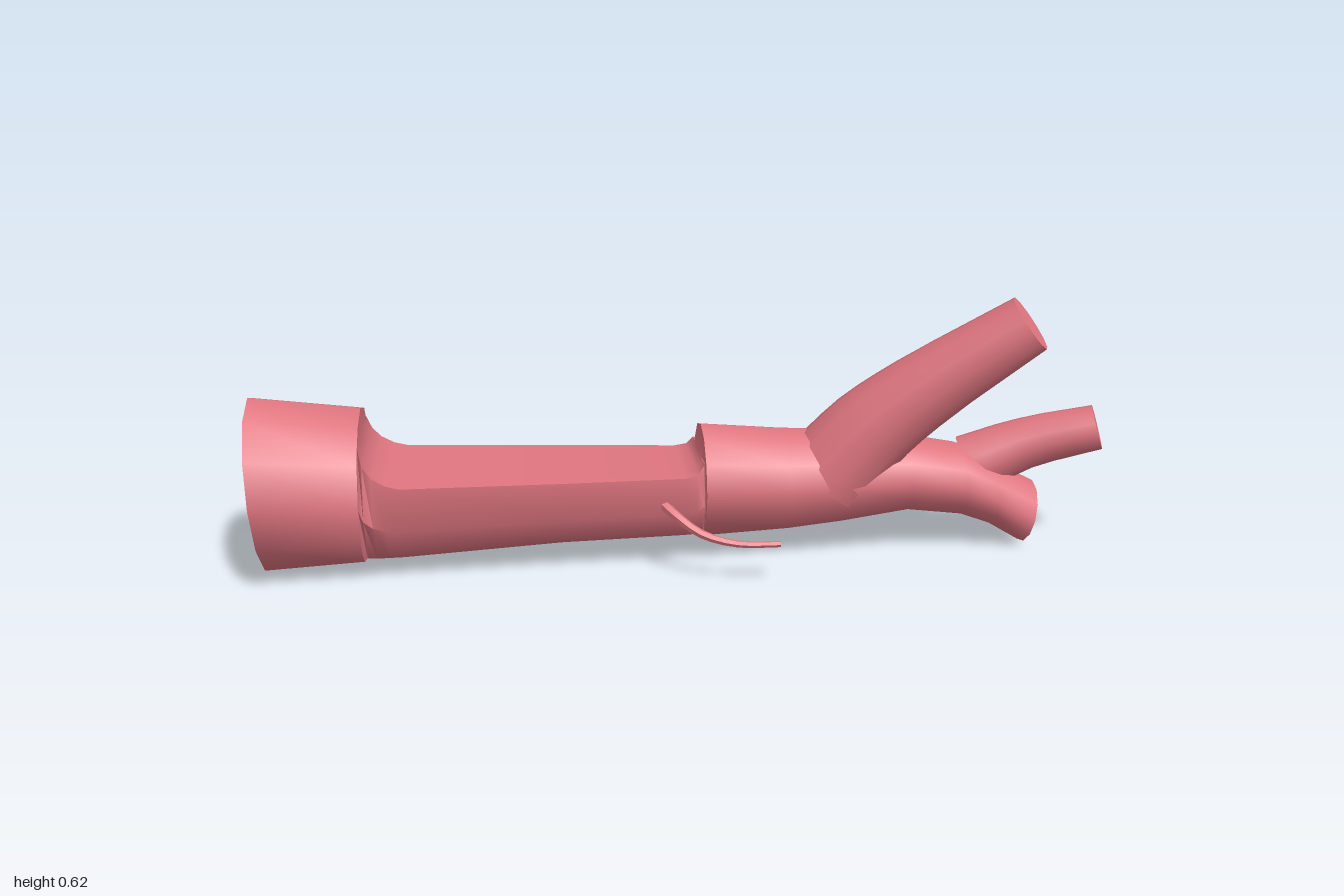
import * as THREE from 'three';
import { toCreasedNormals } from 'three/addons/utils/BufferGeometryUtils.js';

const material = new THREE.MeshStandardMaterial({ color: 0xe07680 });

// Skin a list of rings (arrays of Vector3) and close both ends
function loft(rings, name) {
  const n = rings[0].length, last = (rings.length - 1) * n, index = [];
  for (let i = 0; i < rings.length - 1; i++) {
    for (let j = 0; j < n; j++) {
      const a = i * n + j, b = i * n + (j + 1) % n;
      index.push(a, a + n, b, b, a + n, b + n);
    }
  }
  for (let k = 1; k < n - 1; k++) {
    index.push(0, k, k + 1, last, last + k + 1, last + k);
  }
  const geometry = new THREE.BufferGeometry().setFromPoints(rings.flat());
  geometry.setIndex(index);
  const mesh = new THREE.Mesh(toCreasedNormals(geometry, 0.75), material);
  mesh.name = name;
  return mesh;
}

// Tapering limb along a smooth curve; each node is [x, y, z, radius]
function limb(name, nodes, steps, sides) {
  const curve = new THREE.CatmullRomCurve3(nodes.map(p => new THREE.Vector3(p[0], p[1], p[2])));
  const rings = [];
  for (let i = 0; i <= steps; i++) {
    const t = i / steps, s = t * (nodes.length - 1);
    const k = Math.min(Math.floor(s), nodes.length - 2);
    const r = THREE.MathUtils.lerp(nodes[k][3], nodes[k + 1][3], s - k);
    const centre = curve.getPoint(t), dir = curve.getTangent(t);
    const e1 = new THREE.Vector3(0, 0, 1).addScaledVector(dir, -dir.z).normalize();
    const e2 = e1.clone().cross(dir);
    rings.push(Array.from({ length: sides }, (_, j) => {
      const a = j / sides * Math.PI * 2;
      return centre.clone().addScaledVector(e1, r * Math.cos(a)).addScaledVector(e2, r * Math.sin(a));
    }));
  }
  return loft(rings, name);
}

// Trunk ring: round below, cut flat at height "cut" where there is one
function trunkRing([x, cy, cz, ry, rz, cut = 9, tilt = 0]) {
  const half = 6, ring = [];
  const phi = cut < cy + ry ? Math.asin((cut - cy) / ry) : 0;
  for (let j = 0; j < half * 2; j++) {
    const a = j < half
      ? phi + (Math.PI - 2 * phi) * j / half
      : Math.PI - phi + (Math.PI + 2 * phi) * (j - half) / half;
    const s = Math.sin(a);
    ring.push(new THREE.Vector3(x + tilt * s, Math.min(cy + ry * s, cut), cz + rz * Math.cos(a)));
  }
  return ring;
}

export function createModel() {
  const group = new THREE.Group();
  group.name = 'carvedLog';

  // Trunk with a seat notch: x, centre y, centre z, radius y, radius z, cut height, end tilt
  const trunk = [
    [-0.985, 0.205, 0.015, 0.202, 0.204, 9, -0.015],
    [-0.75, 0.196, 0.015, 0.181, 0.185],
    [-0.75, 0.196, 0.015, 0.181, 0.185, 0.32],
    [-0.74, 0.196, 0.015, 0.181, 0.185, 0.285],
    [-0.72, 0.196, 0.015, 0.18, 0.183, 0.26],
    [-0.69, 0.196, 0.015, 0.178, 0.181, 0.243],
    [-0.66, 0.196, 0.014, 0.177, 0.18, 0.235],
    [-0.3, 0.198, 0.012, 0.158, 0.159, 0.229],
    [-0.02, 0.184, 0.008, 0.14, 0.141, 0.224],
    [0.01, 0.182, 0.008, 0.137, 0.139, 0.23],
    [0.025, 0.181, 0.008, 0.136, 0.138, 0.25],
    [0.03, 0.18, 0.008, 0.135, 0.137],
    [0.23, 0.175, 0.003, 0.121, 0.128],
    [0.36, 0.177, -0.002, 0.111, 0.121],
    [0.52, 0.18, -0.003, 0.09, 0.112],
    [0.65, 0.16, -0.003, 0.086, 0.106],
    [0.73, 0.125, 0.003, 0.079, 0.095],
    [0.82, 0.076, 0.01, 0.074, 0.086, 9, 0.015],
  ];
  group.add(loft(trunk.map(trunkRing), 'trunk'));

  // Sawn-off branches
  group.add(limb('largeBranch', [
    [0.33, 0.18, 0.01, 0.115], [0.42, 0.29, 0.035, 0.105],
    [0.53, 0.39, 0.07, 0.092], [0.765, 0.567, 0.145, 0.07],
  ], 9, 12));
  group.add(limb('smallBranch', [
    [0.68, 0.185, -0.015, 0.075], [0.81, 0.245, 0.012, 0.062], [0.968, 0.294, 0.062, 0.054],
  ], 6, 12));

  // Thin twigs on both sides
  group.add(limb('frontTwig', [
    [-0.08, 0.17, 0.12, 0.014], [-0.05, 0.148, 0.16, 0.012], [0.01, 0.112, 0.205, 0.01],
    [0.09, 0.094, 0.23, 0.008], [0.185, 0.095, 0.243, 0.007],
  ], 12, 6));
  group.add(limb('backTwig', [
    [0.48, 0.16, -0.09, 0.016], [0.515, 0.15, -0.14, 0.013], [0.55, 0.143, -0.195, 0.011],
    [0.6, 0.137, -0.235, 0.009], [0.69, 0.126, -0.245, 0.006],
  ], 12, 6));

  return group;
}
